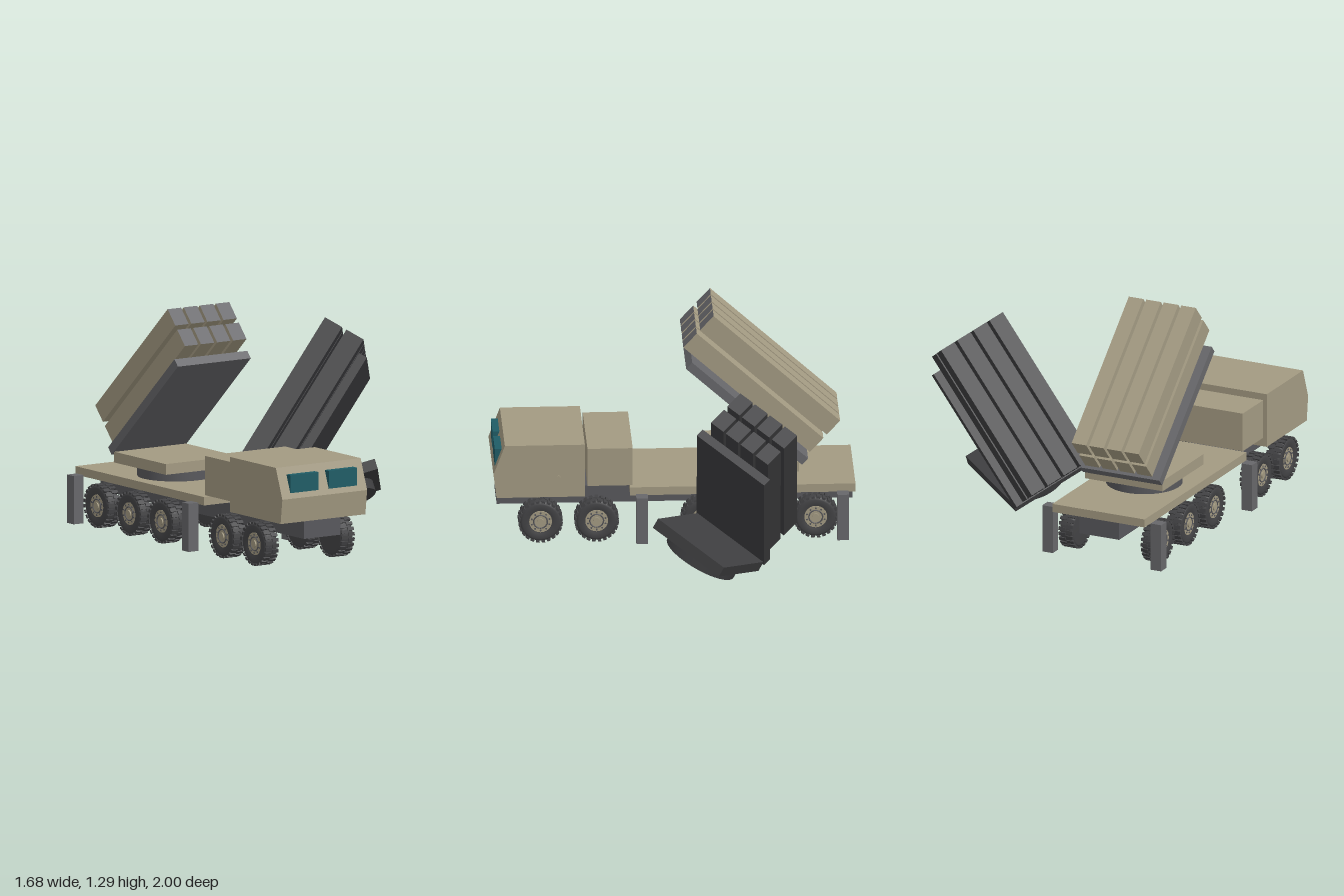
import * as THREE from 'three';

const mat = (name, color, side = THREE.FrontSide) => {
  const m = new THREE.MeshStandardMaterial({ color, side });
  m.name = name;
  return m;
};

export function createModel() {
  const sand = mat('sand paint', 0xa39a82);
  const grey = mat('steel grey', 0x67676a);
  const frame = mat('chassis grey', 0x58585c);
  const dark = mat('dark charcoal', 0x3e3e40);
  const rubber = mat('tyre rubber', 0x434345);
  const glass = mat('teal glass', 0x1f5c66);

  const add = (parent, name, geometry, material, x = 0, y = 0, z = 0) => {
    const m = new THREE.Mesh(geometry, material);
    m.name = name;
    m.position.set(x, y, z);
    parent.add(m);
    return m;
  };
  const box = (parent, name, material, w, h, d, x, y, z) =>
    add(parent, name, new THREE.BoxGeometry(w, h, d), material, x, y, z);
  const group = (parent, name, x = 0, y = 0, z = 0) => {
    const g = new THREE.Group();
    g.name = name;
    g.position.set(x, y, z);
    parent.add(g);
    return g;
  };

  const model = new THREE.Group();
  model.name = 'launcherVehicle';
  const truck = group(model, 'truck', -0.475, 0, 0);

  // Chassis, deck and engine housing
  box(truck, 'chassis', frame, 0.245, 0.1, 1.965, 0, 0.217, -0.008);
  box(truck, 'deck', sand, 0.57, 0.047, 1.245, 0, 0.292, -0.3775);
  box(truck, 'engineHousing', sand, 0.54, 0.22, 0.25, 0, 0.433, 0.355);

  // Cab, extruded across the truck from its side profile (z, y)
  const profile = [[0.495, 0.267], [0.983, 0.267], [1.0, 0.405], [0.937, 0.575], [0.495, 0.575]];
  const cabGeo = new THREE.ExtrudeGeometry(
    new THREE.Shape(profile.map(([z, y]) => new THREE.Vector2(z, y))),
    { depth: 0.57, bevelEnabled: false });
  cabGeo.rotateY(-Math.PI / 2).translate(0.285, 0, 0);
  add(truck, 'cab', cabGeo, sand);
  for (const s of [-1, 1]) box(truck, 'windscreen', glass, 0.19, 0.1, 0.06, s * 0.129, 0.485, 0.96);
  const badge = new THREE.CylinderGeometry(0.022, 0.022, 0.006, 4).rotateZ(Math.PI / 2);
  add(truck, 'doorPlate', badge, sand, 0.287, 0.375, 0.64);

  // Wheels: axis along x, hub on the +x face
  const tyreProfile = [[0.001, -0.042], [0.1, -0.042], [0.112, -0.036], [0.117, -0.022],
    [0.117, 0.022], [0.112, 0.036], [0.1, 0.042], [0.068, 0.042], [0.064, 0.032], [0.001, 0.032]];
  const tyreGeo = new THREE.LatheGeometry(
    tyreProfile.map(([r, y]) => new THREE.Vector2(r, y)), 28).rotateZ(-Math.PI / 2);
  const disc = (r, depth, sides) =>
    new THREE.CylinderGeometry(r, r, depth, sides).rotateZ(-Math.PI / 2);
  const treadGeo = new THREE.BoxGeometry(0.041, 0.012, 0.019);
  const rimGeo = disc(0.063, 0.006, 24);
  const ringGeo = new THREE.TorusGeometry(0.038, 0.004, 6, 24).rotateY(Math.PI / 2);
  const hubGeo = disc(0.02, 0.012, 16);
  const boltGeo = disc(0.0055, 0.006, 6);
  const makeWheel = (side, z) => {
    const wheel = group(truck, 'wheel', side * 0.255, 0.124, z);
    if (side < 0) wheel.rotation.y = Math.PI;
    add(wheel, 'tyre', tyreGeo, rubber);
    const count = 24;
    for (let i = 0; i < count; i++) {
      for (const row of [-1, 1]) {
        const a = (i + (row > 0 ? 0.5 : 0)) / count * Math.PI * 2;
        const t = add(wheel, 'treadBlock', treadGeo, rubber,
          row * 0.0225, Math.cos(a) * 0.1165, Math.sin(a) * 0.1165);
        t.rotation.x = a;
      }
    }
    add(wheel, 'rim', rimGeo, sand, 0.034);
    add(wheel, 'rimRing', ringGeo, frame, 0.037);
    add(wheel, 'hub', hubGeo, sand, 0.039);
    for (let i = 0; i < 10; i++) {
      const a = i / 10 * Math.PI * 2;
      add(wheel, 'rimBolt', boltGeo, frame, 0.037, Math.cos(a) * 0.051, Math.sin(a) * 0.051);
    }
  };
  for (const z of [0.74, 0.43, -0.16, -0.47, -0.78]) for (const s of [-1, 1]) makeWheel(s, z);

  // Stabilizer legs
  for (const z of [0.182, -0.928]) {
    for (const s of [-1, 1]) box(truck, 'stabilizerLeg', grey, 0.065, 0.27, 0.065, s * 0.335, 0.147, z);
  }

  // Launcher: turntable, base plate, tilted pallet and two rows of four canisters
  const makeLauncher = (parent, name, body, pallet, ring, cap) => {
    const g = group(parent, name);
    add(g, 'turntable', new THREE.CylinderGeometry(0.212, 0.212, 0.062, 40), ring, 0, 0.031, 0);
    box(g, 'basePlate', body, 0.48, 0.06, 0.5, 0, 0.09, 0);
    const tilt = group(g, 'tiltedRack', 0, 0.837, 0.35);
    tilt.rotation.x = -0.738;
    box(tilt, 'pallet', pallet, 0.49, 0.05, 0.865, 0, -0.105, -0.5185);
    for (let row = 0; row < 2; row++) {
      for (let i = 0; i < 4; i++) {
        // the forward end face carries the cap colour
        box(tilt, 'canister', [body, body, body, body, cap, body],
          0.09, 0.11, 0.945, (i - 1.5) * 0.108, row * 0.138, -0.4725);
      }
    }
    return g;
  };
  makeLauncher(truck, 'mountedLauncher', sand, grey, frame, grey).position.set(0, 0.315, -0.44);

  // Separate dark launcher lying at an angle beside the truck
  const spare = makeLauncher(model, 'spareLauncher', dark, dark, dark, dark);
  const zAxis = new THREE.Vector3(0.833, 0.277, 0.479).normalize();
  const yAxis = zAxis.clone().cross(new THREE.Vector3(0.55, -0.4, -0.735)).normalize();
  const xAxis = yAxis.clone().cross(zAxis);
  spare.setRotationFromMatrix(new THREE.Matrix4().makeBasis(xAxis, yAxis, zAxis));
  spare.position.set(0.397, 0.124, -0.114);

  return model;
}
